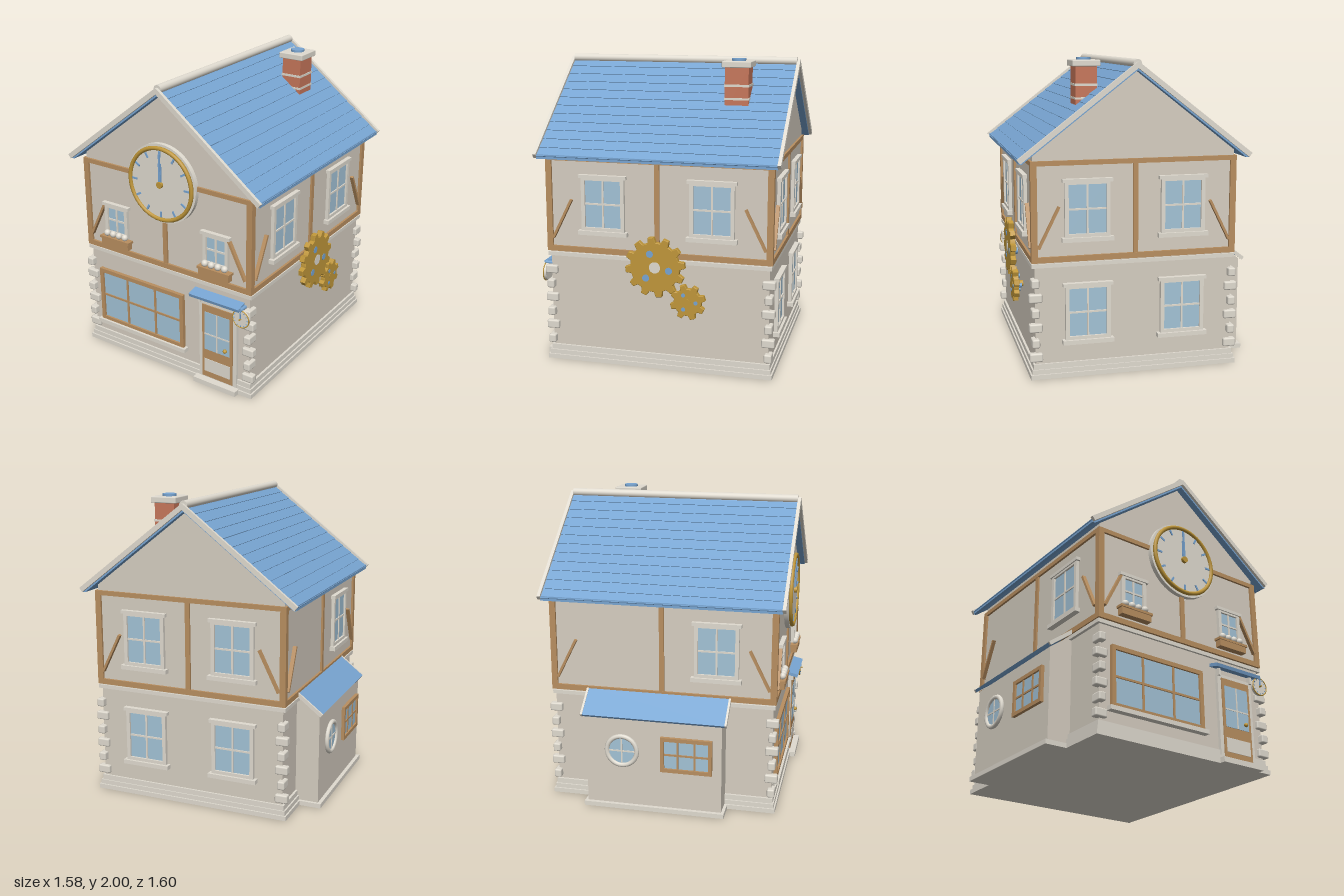
import * as THREE from 'three';
import { RoundedBoxGeometry } from 'three/addons/geometries/RoundedBoxGeometry.js';

const material = (name, color) => Object.assign(new THREE.MeshStandardMaterial({ color }), { name });
const M = {
  wall: material('plaster', 0xd6cec1),
  trim: material('pale stone', 0xe0dbd0),
  wood: material('timber', 0xb98f60),
  blue: material('blue slate', 0x78a5d2),
  glass: material('glass', 0xa3c3d7),
  brick: material('brick', 0xc7775b),
  gold: material('brass', 0xc0973a),
};

function add(parent, name, geo, mat, x = 0, y = 0, z = 0) {
  const m = new THREE.Mesh(geo, mat);
  m.name = name;
  m.position.set(x, y, z);
  parent.add(m);
  return m;
}
const box = (p, name, mat, w, h, d, x, y, z) => add(p, name, new THREE.BoxGeometry(w, h, d), mat, x, y, z);
// disc whose axis points along local z
const disc = (p, name, mat, r, depth, x, y, z, seg = 40) =>
  add(p, name, new THREE.CylinderGeometry(r, r, depth, seg).rotateX(Math.PI / 2), mat, x, y, z);

function group(parent, name, x = 0, y = 0, z = 0, ry = 0) {
  const g = new THREE.Group();
  g.name = name;
  g.position.set(x, y, z);
  g.rotation.y = ry;
  parent.add(g);
  return g;
}

// straight bar between two points on a wall face
function bar(p, name, mat, x1, y1, x2, y2, w, d, z) {
  const m = box(p, name, mat, Math.hypot(x2 - x1, y2 - y1), w, d, (x1 + x2) / 2, (y1 + y2) / 2, z);
  m.rotation.z = Math.atan2(y2 - y1, x2 - x1);
  return m;
}

// prism along z from an outline of x, y points
function prism(p, name, mat, pts, depth, zc = 0) {
  const s = new THREE.Shape(pts.map(([x, y]) => new THREE.Vector2(x, y)));
  return add(p, name, new THREE.ExtrudeGeometry(s, { depth, bevelEnabled: false }), mat, 0, 0, zc - depth / 2);
}

// framed window with glazing bars, lying on a face whose outward side is +z
function windowUnit(face, name, x, y, w, h, { mat = M.trim, cols = 2, rows = 2, t = 0.025, sill = true, lintel = true, bars = 0.012 } = {}) {
  const g = group(face, name, x, y, 0);
  box(g, 'glass', M.glass, w - t, h - t, 0.01, 0, 0, 0.004);
  for (const s of [-1, 1]) {
    box(g, 'jamb', mat, t, h, 0.025, s * (w - t) / 2, 0, 0.01);
    box(g, 'rail', mat, w, t, 0.025, 0, s * (h - t) / 2, 0.01);
  }
  for (let i = 1; i < cols; i++) box(g, 'upright bar', mat, bars, h, 0.016, -w / 2 + i * w / cols, 0, 0.008);
  for (let i = 1; i < rows; i++) box(g, 'cross bar', mat, w, bars, 0.016, 0, -h / 2 + i * h / rows, 0.008);
  if (lintel) box(g, 'lintel', M.trim, w + 0.03, 0.022, 0.035, 0, h / 2, 0.0125);
  if (sill) box(g, 'sill', M.trim, w + 0.04, 0.028, 0.045, 0, -h / 2 - 0.01, 0.016);
  return g;
}

function gear(p, name, r, R, teeth, x, y, turn) {
  const g = group(p, name, x, y, 0.035);
  const s = new THREE.Shape(), step = Math.PI * 2 / teeth;
  for (let i = 0; i < teeth; i++)
    [[-0.3, r], [-0.16, R], [0.16, R], [0.3, r], [0.5, r]].forEach(([f, q], k) => {
      const a = (i + f) * step + turn;
      s[i + k ? 'lineTo' : 'moveTo'](Math.cos(a) * q, Math.sin(a) * q);
    });
  add(g, 'toothed wheel', new THREE.ExtrudeGeometry(s, { depth: 0.03, bevelThickness: 0.003, bevelSize: 0.003, bevelSegments: 1 }), M.gold, 0, 0, 0);
  disc(g, 'hub', R > 0.15 ? M.trim : M.gold, R * 0.19, 0.09, 0, 0, -0.01, 24);
  for (let i = 0; i < 3; i++) {
    const a = 1.8 + turn + i * Math.PI * 2 / 3;
    disc(g, 'round opening', M.blue, R * 0.12, 0.06, Math.cos(a) * R * 0.48, Math.sin(a) * R * 0.48, 0.005, 20);
  }
}

function clock(p, name, r, x, y, z) {
  const g = group(p, name, x, y, z);
  disc(g, 'dial', M.trim, r * 0.93, 0.02, 0, 0, 0);
  add(g, 'brass rim', new THREE.TorusGeometry(r * 0.94, r * 0.055, 8, 48), M.gold, 0, 0, 0.01);
  for (let i = 0; i < 12; i++) {
    const a = i * Math.PI / 6, tick = box(g, 'tick', M.blue, r * 0.05, r * 0.15, 0.006, Math.sin(a) * r * 0.8, Math.cos(a) * r * 0.8, 0.012);
    tick.rotation.z = -a;
  }
  box(g, 'minute hand', M.blue, r * 0.05, r * 0.8, 0.006, 0, r * 0.4, 0.018);
  box(g, 'hour hand', M.blue, r * 0.09, r * 0.55, 0.006, 0, r * 0.28, 0.014);
  disc(g, 'hand hub', M.gold, r * 0.085, 0.02, 0, 0, 0.018, 20);
}

export function createModel() {
  const model = new THREE.Group();
  model.name = 'clockmaker house';
  const house = group(model, 'house', 0.035);
  const HX = 0.65, HZ = 0.735;

  // plinth, ground floor, string course
  box(house, 'plinth', M.trim, 1.36, 0.03, 1.52, 0, 0.015, 0);
  box(house, 'plinth step', M.trim, 1.34, 0.03, 1.5, 0, 0.045, 0);
  box(house, 'plinth cap', M.trim, 1.32, 0.035, 1.485, 0, 0.0775, 0);
  box(house, 'ground floor wall', M.wall, 1.29, 0.7, 1.46, 0, 0.4, 0);
  box(house, 'string course', M.trim, 1.33, 0.025, 1.49, 0, 0.73, 0);

  // corner stones
  for (const sx of [-1, 1]) for (const sz of [-1, 1]) for (let i = 0; i < 6; i++) {
    const wide = i % 2 === 0;
    const w = wide ? 0.085 : 0.05, d = wide ? 0.05 : 0.085;
    add(house, 'corner stone', new RoundedBoxGeometry(w, 0.056, d, 1, 0.01), M.trim,
      sx * (0.69 - (wide ? 0.005 : 0.02) - w / 2), 0.14 + i * 0.096, sz * (0.775 - (wide ? 0.02 : 0.005) - d / 2));
  }

  // upper storey with gables
  prism(house, 'upper wall', M.wall, [[-HX, 0.74], [HX, 0.74], [HX, 1.42], [0, 1.925], [-HX, 1.42]], HZ * 2);

  // wall faces: local x runs along the wall, local z points outward
  const front = group(house, 'front face', 0, 0, HZ);
  const back = group(house, 'back face', 0, 0, -HZ, Math.PI);
  const right = group(house, 'plus x face', HX, 0, 0, Math.PI / 2);
  const left = group(house, 'minus x face', -HX, 0, 0, -Math.PI / 2);

  // timber framing on all four faces
  for (const [f, half] of [[front, HX], [back, HX], [right, HZ], [left, HZ]]) {
    box(f, 'bottom beam', M.wood, half * 2 + 0.03, 0.036, 0.03, 0, 0.768, 0);
    box(f, 'top beam', M.wood, half * 2 + 0.03, 0.03, 0.03, 0, 1.37, 0);
    box(f, 'centre post', M.wood, 0.032, 0.59, 0.026, 0, 1.07, 0);
    for (const s of [-1, 1]) {
      box(f, 'corner post', M.wood, 0.04, 0.6, 0.03, s * (half - 0.005), 1.07, 0);
      bar(f, 'brace', M.wood, s * (half - 0.03), 0.84, s * (half - 0.16), 1.1, 0.016, 0.03, 0.01);
    }
  }

  // windows of the sides and back
  for (const s of [-1, 1]) {
    windowUnit(right, 'side window', s * 0.36, 1.08, 0.29, 0.36);
    windowUnit(back, 'back upper window', s * 0.31, 1.08, 0.29, 0.36);
    windowUnit(back, 'back lower window', s * 0.31, 0.42, 0.29, 0.36);
  }
  windowUnit(left, 'side window', 0.36, 1.08, 0.29, 0.36);

  // front upper windows with flower boxes
  for (const s of [-1, 1]) {
    windowUnit(front, 'front upper window', s * 0.4, 0.985, 0.19, 0.22, { sill: false });
    const b = group(front, 'flower box', s * 0.4, 0, 0);
    box(b, 'trough', M.wood, 0.225, 0.05, 0.045, 0, 0.83, 0.024);
    box(b, 'trough rim', M.wood, 0.245, 0.016, 0.052, 0, 0.858, 0.026);
    for (let i = 0; i < 4; i++) add(b, 'flower', new THREE.SphereGeometry(0.023, 14, 10), M.trim, -0.075 + i * 0.05, 0.887, 0.028);
  }

  // shop window
  windowUnit(front, 'shop window', -0.215, 0.39, 0.71, 0.4, { mat: M.wood, cols: 3, lintel: false, t: 0.028, bars: 0.014 });

  // door, step and canopy
  const door = group(front, 'door', 0.415, 0, 0);
  box(door, 'step', M.trim, 0.33, 0.035, 0.09, 0, 0.0175, 0.02);
  box(door, 'door surround', M.trim, 0.29, 0.58, 0.024, 0, 0.32, 0.005);
  box(door, 'door leaf', M.wood, 0.235, 0.54, 0.02, 0, 0.315, 0.014);
  box(door, 'door glass', M.glass, 0.195, 0.28, 0.006, 0, 0.395, 0.024);
  box(door, 'door glass bar', M.trim, 0.01, 0.28, 0.008, 0, 0.395, 0.026);
  box(door, 'door glass bar', M.trim, 0.195, 0.01, 0.008, 0, 0.375, 0.026);
  box(door, 'kick panel', M.trim, 0.2, 0.095, 0.006, 0, 0.135, 0.024);
  add(door, 'knob', new THREE.SphereGeometry(0.014, 16, 12), M.gold, 0.067, 0.295, 0.034);
  box(door, 'canopy', M.blue, 0.38, 0.022, 0.085, 0, 0.657, 0.025).rotation.x = 0.25;
  for (const s of [-1, 1]) box(door, 'canopy bracket', M.trim, 0.016, 0.05, 0.035, s * 0.135, 0.622, 0.015);

  // hanging clock sign
  add(front, 'sign arm', new THREE.CylinderGeometry(0.012, 0.012, 0.06, 12).rotateX(Math.PI / 2), M.blue, 0.61, 0.65, 0.025);
  clock(front, 'clock sign', 0.064, 0.612, 0.588, 0.04);

  // large gable clock
  disc(front, 'clock surround', M.trim, 0.265, 0.036, 0, 1.35, 0.012, 56);
  clock(front, 'gable clock', 0.255, 0, 1.35, 0.031);

  // gears
  gear(right, 'large gear', 0.16, 0.195, 12, 0, 0.7, 0.13);
  gear(right, 'small gear', 0.087, 0.113, 8, 0.215, 0.485, 0.3);

  // roof: stepped slate courses on each slope
  const ang = Math.atan2(0.575, 0.745), L = 0.935, N = 12;
  for (const s of [0, 1]) {
    const side = group(house, 'roof side', 0, 1.972, 0, s * Math.PI);
    const slope = group(side, 'slope');
    slope.rotation.z = -ang;
    box(slope, 'roof board', M.blue, L, 0.02, 1.56, L / 2, -0.025, 0);
    for (let i = 0; i < N; i++)
      box(slope, 'slate course', M.blue, L / N + 0.012, 0.01, 1.56, (i + 0.5) * L / N, -0.013, 0).rotation.z = 0.05;
    for (const z of [-1, 1]) box(slope, 'barge board', M.trim, L + 0.01, 0.032, 0.022, L / 2 + 0.003, -0.008, z * 0.789);
    box(side, 'eaves edge', M.blue, 0.02, 0.028, 1.56, 0.728, -0.585, 0);
  }
  add(house, 'ridge cap', new THREE.CylinderGeometry(0.027, 0.027, 1.56, 20).rotateX(Math.PI / 2), M.trim, 0, 1.969, 0);

  // chimney
  const ch = group(house, 'chimney', 0.265, 0, -0.44);
  box(ch, 'stack', M.brick, 0.138, 0.3, 0.155, 0, 1.81, 0);
  box(ch, 'flashing', M.trim, 0.145, 0.014, 0.162, 0, 1.745, 0);
  box(ch, 'band', M.trim, 0.146, 0.015, 0.163, 0, 1.83, 0);
  add(ch, 'cap', new RoundedBoxGeometry(0.18, 0.04, 0.19, 1, 0.006), M.trim, 0, 1.965, 0);
  add(ch, 'pot', new THREE.CylinderGeometry(0.046, 0.046, 0.03, 28), M.blue, 0, 1.985, 0);

  // lean-to
  const lean = group(house, 'lean-to', 0, 0, -0.025);
  prism(lean, 'lean-to wall', M.wall, [[-0.8, 0.02], [-0.64, 0.02], [-0.64, 0.755], [-0.8, 0.635]], 0.9);
  box(lean, 'lean-to plinth', M.trim, 0.2, 0.03, 0.94, -0.725, 0.015, 0);
  const lr = [-0.822, 0.64, -0.65, 0.772];
  bar(lean, 'lean-to roof', M.blue, ...lr, 0.018, 0.94, 0);
  for (const z of [-1, 1]) bar(lean, 'lean-to barge board', M.trim, ...lr, 0.024, 0.014, z * 0.476);
  const lf = group(lean, 'lean-to face', -0.8, 0, 0, -Math.PI / 2);
  windowUnit(lf, 'lean-to window', 0.22, 0.41, 0.34, 0.24, { mat: M.wood, cols: 3, sill: false, lintel: false });
  disc(lf, 'round glass', M.glass, 0.1, 0.012, -0.21, 0.41, 0.004);
  add(lf, 'round window frame', new THREE.TorusGeometry(0.1, 0.016, 8, 40), M.trim, -0.21, 0.41, 0.008);
  box(lf, 'round window bar', M.trim, 0.01, 0.2, 0.008, -0.21, 0.41, 0.01);
  box(lf, 'round window bar', M.trim, 0.2, 0.01, 0.008, -0.21, 0.41, 0.01);

  return model;
}
